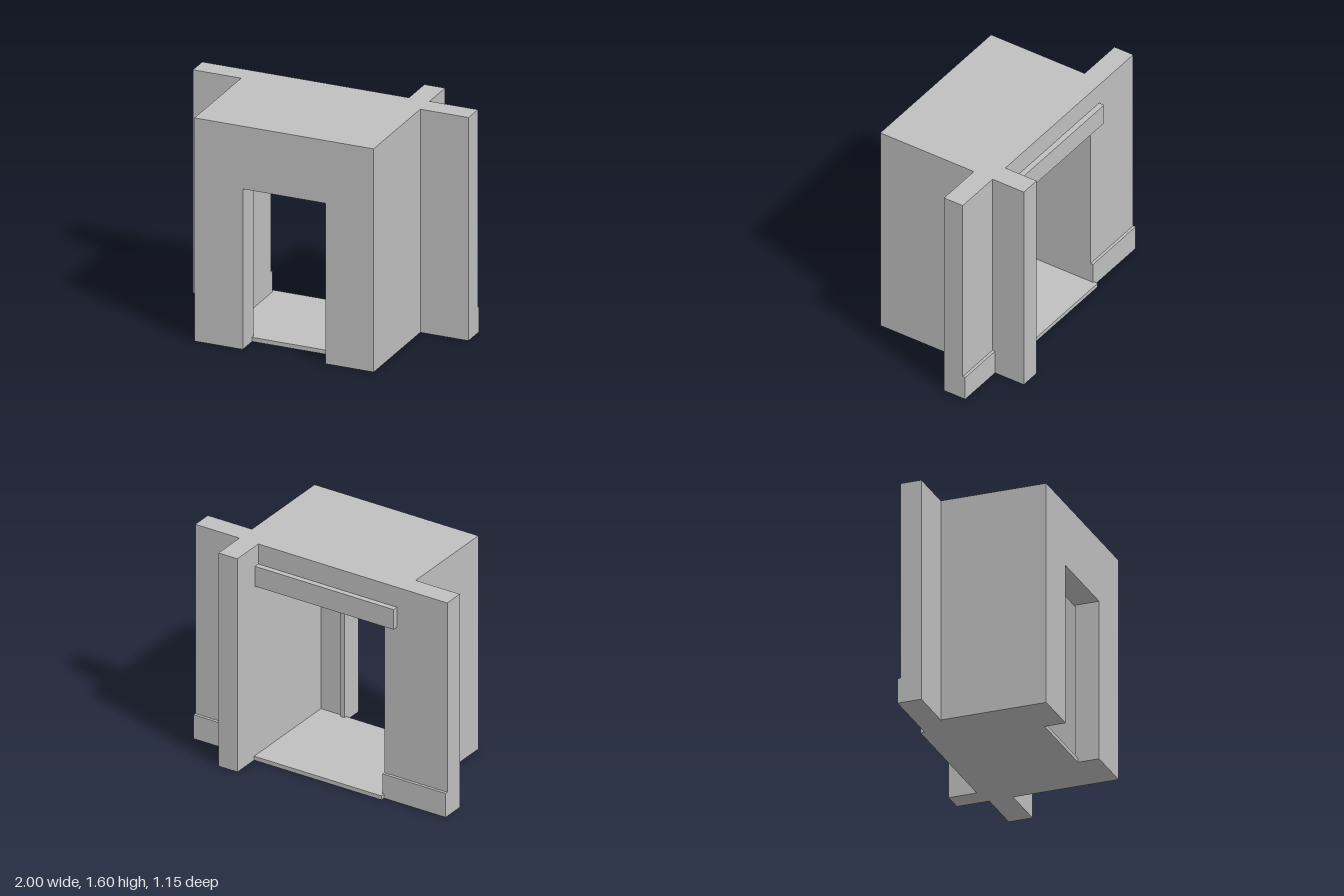
import * as THREE from 'three';

export function createModel() {
  const group = new THREE.Group();
  const plaster = new THREE.MeshStandardMaterial({ color: 0xbfbfbf });
  plaster.name = 'plaster grey';

  const add = (name, geometry) => {
    const mesh = new THREE.Mesh(geometry, plaster);
    mesh.name = name;
    group.add(mesh);
  };
  // Box given by its lower and upper limits on each axis
  const box = (name, x0, x1, y0, y1, z0, z1) => {
    const g = new THREE.BoxGeometry(x1 - x0, y1 - y0, z1 - z0);
    add(name, g.translate((x0 + x1) / 2, (y0 + y1) / 2, (z0 + z1) / 2));
  };
  // Floor plan of [x, z] points raised to wall height
  const wall = (name, plan) => {
    const shape = new THREE.Shape(plan.map(([x, z]) => new THREE.Vector2(x, -z)));
    const g = new THREE.ExtrudeGeometry(shape, { depth: 1.6, bevelEnabled: false });
    add(name, g.rotateX(-Math.PI / 2));
  };

  // Side walls with front return and sideways wing; the left one also has a rear fin
  const common = [[0.3, 0.425], [0.3, 0.575], [0.65, 0.575], [0.65, -0.175], [1, -0.175], [1, -0.325]];
  wall('leftWall', [...common, [0.65, -0.325], [0.65, -0.575], [0.5, -0.575], [0.5, 0.425]]);
  wall('rightWall', [...common, [0.5, -0.325], [0.5, 0.425]].map(([x, z]) => [-x, z]));

  // Parts closing the room above and below
  box('frontHeader', -0.3, 0.3, 1.15, 1.6, 0.425, 0.575);
  box('backLintel', -0.5, 0.5, 1.3, 1.6, -0.325, -0.175);
  box('ceiling', -0.5, 0.5, 1.5, 1.6, -0.175, 0.425);
  box('floor', -0.51, 0.5, 0, 0.03, -0.375, 0.425);

  // Rail over the rear opening
  box('rearRail', -0.6, 0.5, 1.3, 1.45, -0.365, -0.325);

  // Skirting on the rear of the wings
  box('leftSkirting', 0.65, 1, 0, 0.18, -0.345, -0.325);
  box('rightSkirting', -1, -0.5, 0, 0.18, -0.345, -0.325);

  // Trim around the doorway, inside the room
  box('leftDoorTrim', 0.3, 0.33, 0.03, 1.15, 0.405, 0.425);
  box('rightDoorTrim', -0.33, -0.3, 0.03, 1.15, 0.405, 0.425);
  box('topDoorTrim', -0.36, 0.36, 1.15, 1.23, 0.395, 0.425);

  return group;
}
